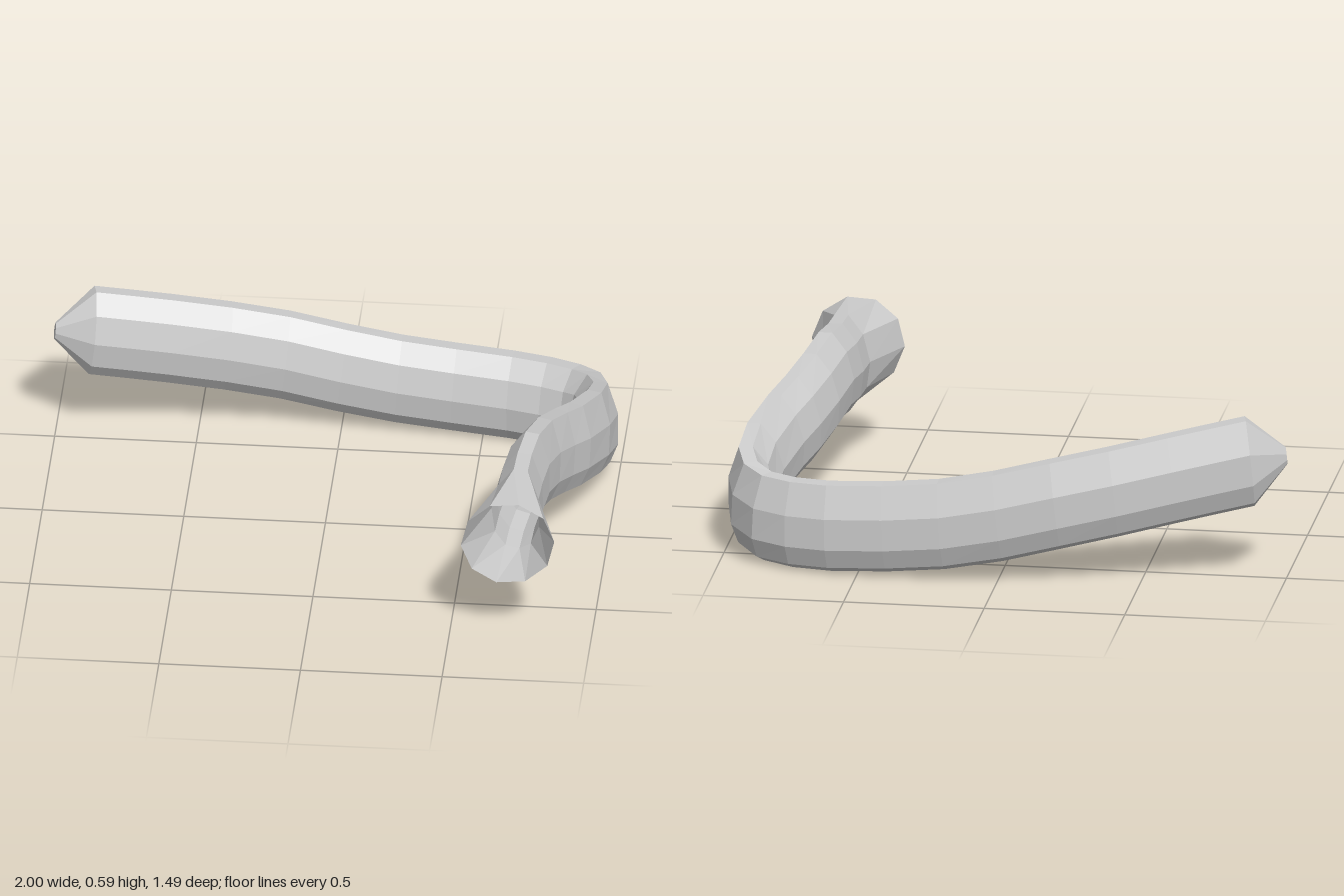
import * as THREE from 'three';

// Centre line of the bent tube, from the pointed end to the neck of the flare
const PATH = [
  [-0.87, 0.435, -0.51], [-0.74, 0.408, -0.54], [-0.6, 0.378, -0.572], [-0.4, 0.333, -0.615],
  [-0.2, 0.288, -0.645], [0, 0.238, -0.658], [0.2, 0.2, -0.663], [0.4, 0.18, -0.658],
  [0.6, 0.168, -0.643], [0.73, 0.166, -0.615], [0.83, 0.17, -0.57], [0.892, 0.187, -0.5],
  [0.915, 0.212, -0.4], [0.9, 0.257, -0.27], [0.85, 0.308, -0.1], [0.805, 0.345, 0.01],
  [0.763, 0.388, 0.14], [0.735, 0.42, 0.28], [0.72, 0.413, 0.4], [0.715, 0.41, 0.51],
].map((p) => new THREE.Vector3(...p));

// Tall ten-sided section: [outward, up], starting at the top outer corner
const SECTION = [
  [0.045, 0.16], [-0.005, 0.163], [-0.058, 0.095], [-0.084, -0.005], [-0.072, -0.1],
  [-0.035, -0.153], [0.015, -0.163], [0.055, -0.14], [0.084, -0.068], [0.083, 0.045],
];

// Places a flat section at a point, square to the bend and leaning slightly with the slope
function placeRing(section, centre, direction, scale = 1) {
  const flat = new THREE.Vector3(direction.x, 0, direction.z);
  const slope = direction.y / flat.length();
  flat.normalize();
  const out = new THREE.Vector3(flat.z, 0, -flat.x);
  const up = new THREE.Vector3(0, 1, 0).addScaledVector(flat, -0.5 * slope);
  return section.map(([u, v]) =>
    centre.clone().addScaledVector(out, u * scale).addScaledVector(up, v * scale));
}

// Skins a list of rings with quads
function loft(rings) {
  const n = rings[0].length;
  const index = [];
  for (let i = 0; i < rings.length - 1; i++) {
    for (let j = 0; j < n; j++) {
      const a = i * n + j, b = i * n + ((j + 1) % n);
      index.push(a, b, a + n, b, b + n, a + n);
    }
  }
  const geometry = new THREE.BufferGeometry().setFromPoints(rings.flat());
  geometry.setIndex(index);
  geometry.computeVertexNormals();
  return geometry;
}

export function createModel() {
  const group = new THREE.Group();
  group.name = 'bentTube';
  const material = new THREE.MeshStandardMaterial({
    color: 0xcccccc, flatShading: true, side: THREE.DoubleSide,
  });
  const add = (name, rings) => {
    const mesh = new THREE.Mesh(loft(rings), material);
    mesh.name = name;
    group.add(mesh);
  };

  // Main tube
  const last = PATH.length - 1;
  const tube = PATH.map((p, i) => {
    const direction = PATH[Math.min(i + 1, last)].clone().sub(PATH[Math.max(i - 1, 0)]);
    return placeRing(SECTION, p, direction);
  });
  add('tube', tube);

  // Blunt closed point
  const tip = new THREE.Vector3(-0.997, 0.45, -0.477);
  const tipDirection = PATH[1].clone().sub(PATH[0]);
  add('pointedEnd', [
    placeRing(SECTION, tip, tipDirection, 0),
    placeRing(SECTION, tip, tipDirection, 0.19),
    tube[0],
  ]);

  // Open flare, widening to a round mouth
  const mouth = SECTION.map((_, j) => {
    const a = THREE.MathUtils.degToRad(76 + j * 36);
    return [0.165 * Math.cos(a), 0.168 * Math.sin(a)];
  });
  add('flare', [
    tube[last],
    placeRing(mouth, new THREE.Vector3(0.708, 0.403, 0.738), new THREE.Vector3(0.04, -0.06, 1)),
  ]);

  return group;
}
